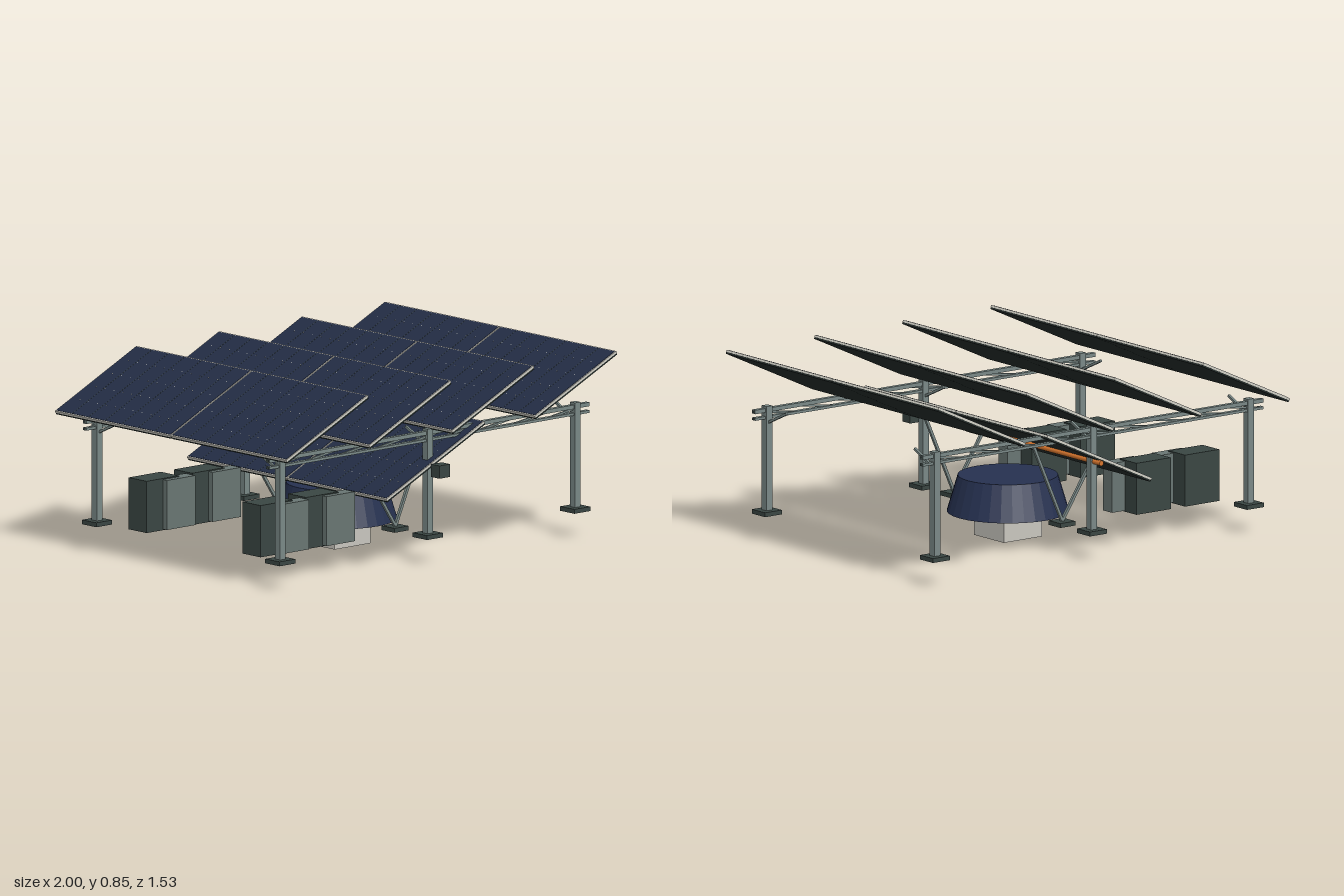
import * as THREE from 'three';
import { mergeGeometries } from 'three/addons/utils/BufferGeometryUtils.js';

const paint = (name, color) => {
  const m = new THREE.MeshStandardMaterial({ color });
  m.name = name;
  return m;
};

export function createModel() {
  const root = new THREE.Group();
  root.name = 'solarCanopy';
  const mat = {
    steel: paint('galvanised steel', 0x7a8987),
    dark: paint('dark steel', 0x3a4643),
    door: paint('cabinet grey', 0x697673),
    cell: paint('solar cell navy', 0x222c44),
    frame: paint('panel frame white', 0xd2d0c6),
    back: paint('panel backing', 0x252d2b),
    orange: paint('torque tube orange', 0xd9772e),
    drum: paint('drum navy', 0x263150),
    stone: paint('pale concrete', 0xc9c7bf),
  };

  const add = (parent, name, geo, material, x = 0, y = 0, z = 0) => {
    const m = new THREE.Mesh(geo, material);
    m.name = name;
    m.position.set(x, y, z);
    parent.add(m);
    return m;
  };
  const box = (parent, name, material, w, h, d, x, y, z) =>
    add(parent, name, new THREE.BoxGeometry(w, h, d), material, x, y, z);

  // Square bar between two points
  const bar = (name, material, a, b, t) => {
    const p = new THREE.Vector3(...a), q = new THREE.Vector3(...b);
    const m = box(root, name, material, t, t, p.distanceTo(q), 0, 0, 0);
    m.position.copy(p).add(q).multiplyScalar(0.5);
    m.lookAt(q);
    return m;
  };

  // One tilted solar panel: backing, frame, cell sheet and cell markers
  const panel = (name, x, y, z, length, width) => {
    const g = new THREE.Group();
    g.name = name;
    g.position.set(x, y, z);
    g.rotation.z = THREE.MathUtils.degToRad(25);
    root.add(g);
    box(g, 'panelBacking', mat.back, length - 0.002, 0.008, width - 0.002, 0, -0.005, 0);
    box(g, 'panelFrame', mat.frame, length, 0.01, width, 0, 0.004, 0);
    box(g, 'cellSheet', mat.cell, length - 0.012, 0.003, width - 0.01, 0, 0.009, 0);
    const lines = [], dots = [];
    for (let i = 1; i < 7; i++) {
      const line = new THREE.BoxGeometry(length - 0.014, 0.001, 0.0016);
      lines.push(line.translate(0, 0.0105, (i / 7 - 0.5) * width));
    }
    for (let r = 1; r < 5; r++) {
      for (let c = 1; c < 13; c++) {
        const dot = new THREE.BoxGeometry(0.004, 0.001, 0.004).rotateY(Math.PI / 4);
        dots.push(dot.translate((r / 5 - 0.5) * length, 0.0108, (c / 13 - 0.5) * width));
      }
    }
    add(g, 'cellLines', mergeGeometries(lines), mat.dark);
    add(g, 'cellCorners', mergeGeometries(dots), mat.frame);
  };

  for (const s of [-1, 1]) {
    // Four canopy rows and the lower tracking panel
    for (let i = 0; i < 4; i++) panel('canopyPanel', -0.75 + i * 0.5, 0.728, s * 0.383, 0.543, 0.762);
    panel('trackerPanel', 0, 0.465, s * 0.33, 0.653, 0.657);

    // Posts with base plates and knee braces
    const z = s * 0.605;
    for (const x of [-0.89, 0, 0.89]) {
      box(root, 'post', mat.steel, 0.034, 0.485, 0.034, x, 0.3675, z);
      box(root, 'basePlate', mat.dark, 0.095, 0.02, 0.095, x, 0.125, z);
      bar('kneeBrace', mat.steel, [x, 0.53, z], [x, 0.597, s * 0.46], 0.011);
    }

    // Truss: two chords and sloping web bars
    box(root, 'upperChord', mat.steel, 1.93, 0.018, 0.022, 0, 0.591, z);
    box(root, 'lowerChord', mat.steel, 1.93, 0.012, 0.022, 0, 0.558, z);
    for (let i = 0; i < 9; i++) {
      const x = -0.945 + i * 0.21;
      bar('trussWeb', mat.steel, [x, 0.56, z], [x + 0.2, 0.588, z], 0.009);
    }
    for (const end of [-1, 1]) {
      for (const y of [0.591, 0.558])
        box(root, 'chordEnd', mat.dark, 0.004, 0.009, 0.013, end * 0.965, y, z);
    }

    // V struts of the tracker
    box(root, 'strutBase', mat.dark, 0.085, 0.02, 0.085, 0, 0.125, s * 0.39);
    bar('trackerStrut', mat.steel, [0, 0.135, s * 0.39], [0.165, 0.503, s * 0.39], 0.013);
    bar('trackerStrut', mat.steel, [0, 0.135, s * 0.39], [-0.165, 0.385, s * 0.39], 0.013);

    // Equipment cabinets, each with a lighter offset front housing
    const cz = s * 0.376 + 0.008;
    for (const x of [-0.765, -0.49]) {
      box(root, 'cabinet', mat.dark, 0.194, 0.235, 0.12, x, 0.2325, cz);
      box(root, 'cabinetFront', mat.door, 0.17, 0.225, 0.066, x + 0.086, 0.2325, cz + 0.055);
    }
  }

  // Torque tube with its drive box
  const tube = add(root, 'torqueTube', new THREE.CylinderGeometry(0.012, 0.012, 1.34, 16), mat.orange, 0, 0.446, -0.005);
  tube.rotation.x = Math.PI / 2;
  box(root, 'driveBox', mat.dark, 0.064, 0.058, 0.055, 0, 0.43, 0.69);

  // Tapered drum on a concrete block
  const drumGeo = new THREE.CylinderGeometry(0.224, 0.273, 0.165, 32).toNonIndexed();
  drumGeo.computeVertexNormals();
  add(root, 'drum', drumGeo, mat.drum, 0, 0.1975, 0);
  box(root, 'drumPedestal', mat.stone, 0.216, 0.118, 0.216, 0, 0.059, 0);

  return root;
}
